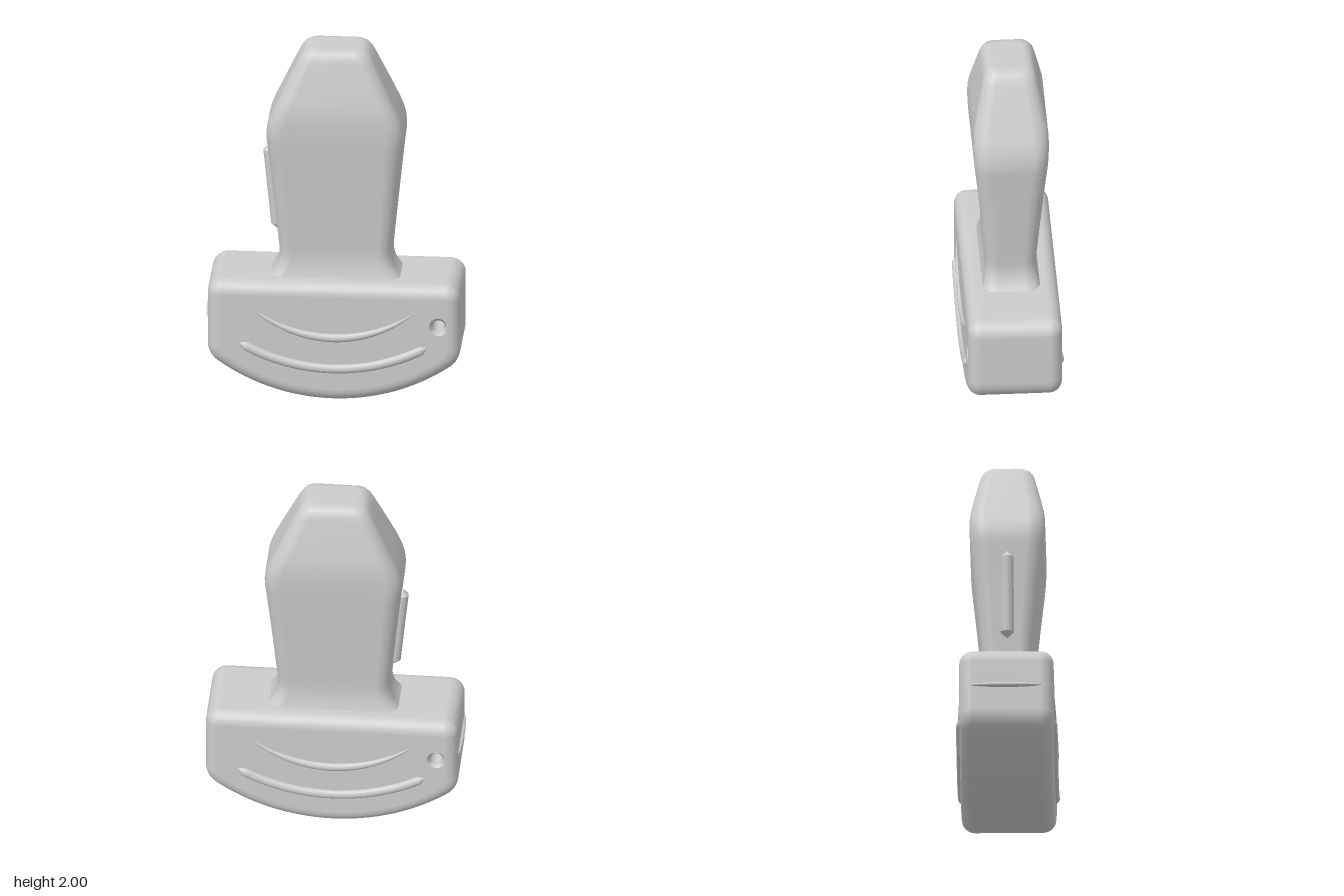
import * as THREE from 'three';

const grey = new THREE.MeshStandardMaterial({ color: 0xcccccc });
const greyDouble = new THREE.MeshStandardMaterial({ color: 0xcccccc, side: THREE.DoubleSide });
const V = (x, y, z) => new THREE.Vector3(x, y, z);

function mesh(name, geometry, material = grey) {
  const m = new THREE.Mesh(geometry, material);
  m.name = name;
  return m;
}

// Smooth skin over a list of equal-length rings
function loft(rings, closed = true) {
  const n = rings[0].length, index = [];
  for (let i = 0; i < rings.length - 1; i++) {
    for (let j = 0; j < (closed ? n : n - 1); j++) {
      const k = (j + 1) % n;
      const a = i * n + j, b = i * n + k, c = a + n, d = b + n;
      index.push(a, b, d, a, d, c);
    }
  }
  const g = new THREE.BufferGeometry().setFromPoints(rings.flat());
  g.setIndex(index);
  g.computeVertexNormals();
  return g;
}

// Points on a circular arc
function arc(cx, cy, r, from, to, steps) {
  return Array.from({ length: steps + 1 }, (_, i) => {
    const a = from + (to - from) * i / steps;
    return new THREE.Vector2(cx + r * Math.cos(a), cy + r * Math.sin(a));
  });
}

// Base outline: flat top, rounded corners, curved underside; d insets it
const HALF = 0.685, TOP = 0.687, R = 1.075, CY = 1.08, FILLET = 0.13;
function baseOutline(d) {
  const cx = HALF - FILLET, drop = Math.sqrt((R - FILLET) ** 2 - cx * cx);
  const a = Math.atan2(-drop, cx), left = -Math.PI - a;
  return [
    ...arc(0, CY, R - d, left, a, 40),
    ...arc(cx, CY - drop, FILLET - d, a, 0, 8).slice(1),
    ...arc(HALF - 0.08, TOP - 0.08, 0.08 - d, 0, Math.PI / 2, 8),
    ...arc(-HALF + 0.08, TOP - 0.08, 0.08 - d, Math.PI / 2, Math.PI, 8),
    ...arc(-cx, CY - drop, FILLET - d, -Math.PI, left, 8).slice(0, -1),
  ];
}

const DEPTH = 0.255, BEVEL = 0.07, HOLE_X = 0.57, HOLE_Y = 0.46;

function createBase() {
  const base = new THREE.Group();
  base.name = 'base';

  // Rim with rounded front and back edges
  const rings = [];
  for (const side of [-1, 1]) {
    for (let i = 0; i <= 8; i++) {
      const t = (side < 0 ? 8 - i : i) / 8 * Math.PI / 2;
      const z = side * (DEPTH - BEVEL + BEVEL * Math.sin(t));
      rings.push(baseOutline(BEVEL * (1 - Math.cos(t))).map(p => V(p.x, p.y, z)));
    }
  }
  base.add(mesh('baseRim', loft(rings)));

  // Front and back faces, pierced by two holes
  const shape = new THREE.Shape(baseOutline(BEVEL));
  for (const s of [-1, 1]) {
    shape.holes.push(new THREE.Path().absarc(s * HOLE_X, HOLE_Y, 0.05, 0, Math.PI * 2, true));
  }
  const face = new THREE.ShapeGeometry(shape, 16);
  for (const [name, turn] of [['front', 0], ['back', Math.PI]]) {
    const side = new THREE.Group();
    side.name = name + 'Side';
    side.rotation.y = turn;
    const panel = mesh(name + 'Face', face);
    panel.position.z = DEPTH;
    side.add(panel);
    side.add(mesh(name + 'UpperRidge', ridge(1.07, 0.69, 0.76, 0.024, 0.022, t => Math.cos(t * Math.PI / 2))));
    side.add(mesh(name + 'LowerRidge', ridge(1.2, 1.0, 0.535, 0.026, 0.023, t => Math.min(1, (1 - Math.abs(t)) * 14))));
    base.add(side);
  }

  // Countersunk through holes
  const bore = [[0.05, -DEPTH], [0.034, -0.235], [0.034, 0.235], [0.05, DEPTH]];
  for (const s of [-1, 1]) {
    const hole = mesh(s > 0 ? 'leftHole' : 'rightHole',
      new THREE.LatheGeometry(bore.map(p => new THREE.Vector2(...p)), 32), greyDouble);
    hole.rotation.x = Math.PI / 2;
    hole.position.set(s * HOLE_X, HOLE_Y, 0);
    base.add(hole);
  }

  // Slim marker on one end
  const marker = mesh('endMarker', new THREE.SphereGeometry(1, 32, 16));
  marker.scale.set(0.017, 0.014, 0.19);
  marker.position.set(-HALF, HOLE_Y, 0);
  base.add(marker);
  return base;
}

// Raised half-round strip along a downward arc, tapered by taper(-1..1)
function ridge(cy, r, spread, width, height, taper) {
  const rings = [];
  for (let i = 0; i <= 64; i++) {
    const t = i / 32 - 1, a = t * spread, k = Math.max(taper(t), 0.001);
    const ring = [];
    for (let j = 0; j <= 12; j++) {
      const b = j / 12 * Math.PI, rad = r - width * k * Math.cos(b);
      ring.push(V(rad * Math.sin(a), cy - rad * Math.cos(a), DEPTH - 0.003 + height * k * Math.sin(b)));
    }
    rings.push(ring);
  }
  return loft(rings, false);
}

// Rounded-rectangle ring at height y
function roundedRing(y, hx, hz, r) {
  const ring = [];
  [[1, 1], [-1, 1], [-1, -1], [1, -1]].forEach(([sx, sz], q) => {
    for (const p of arc(sx * (hx - r), sz * (hz - r), r, q * Math.PI / 2, (q + 1) * Math.PI / 2, 8)) {
      ring.push(V(p.x, y, -p.y));
    }
  });
  return ring;
}

function createHandle() {
  // Height, half width, half depth, corner radius
  const rows = [
    [0.68, 0.357, 0.157, 0.07], [0.70, 0.341, 0.151, 0.07], [0.73, 0.322, 0.144, 0.07],
    [0.77, 0.308, 0.138, 0.07], [0.81, 0.304, 0.136, 0.07], [0.86, 0.308, 0.140, 0.072],
    [1.05, 0.327, 0.157, 0.08], [1.25, 0.347, 0.176, 0.085], [1.42, 0.365, 0.194, 0.09],
    [1.47, 0.371, 0.199, 0.09], [1.51, 0.373, 0.202, 0.09], [1.56, 0.368, 0.204, 0.09],
    [1.60, 0.357, 0.205, 0.09], [1.65, 0.337, 0.203, 0.088], [1.70, 0.313, 0.198, 0.085],
    [1.78, 0.276, 0.182, 0.08], [1.86, 0.239, 0.165, 0.075], [1.93, 0.206, 0.149, 0.07],
    [1.96, 0.190, 0.141, 0.068], [1.983, 0.172, 0.127, 0.06], [1.996, 0.152, 0.108, 0.05],
    [2.0, 0.132, 0.09, 0.04], [2.0, 0.122, 0.08, 0.035], [2.0, 0.001, 0.001, 0.0005],
  ];
  const handle = new THREE.Group();
  handle.name = 'handle';
  handle.add(mesh('grip', loft(rows.map(row => roundedRing(...row)))));

  // Half-sunk rod with chamfered ends along one side of the grip
  const profile = [[0, -0.25], [0.036, -0.215], [0.036, -0.215], [0.036, 0.215], [0.036, 0.215], [0, 0.25]];
  const rod = mesh('sideRib', new THREE.LatheGeometry(profile.map(p => new THREE.Vector2(...p)), 24));
  rod.position.set(-0.341, 1.157, 0);
  rod.rotation.z = 0.1;
  handle.add(rod);
  return handle;
}

export function createModel() {
  const model = new THREE.Group();
  model.name = 'handheldProbe';
  model.add(createBase(), createHandle());
  model.position.x = 0.005;
  return model;
}
